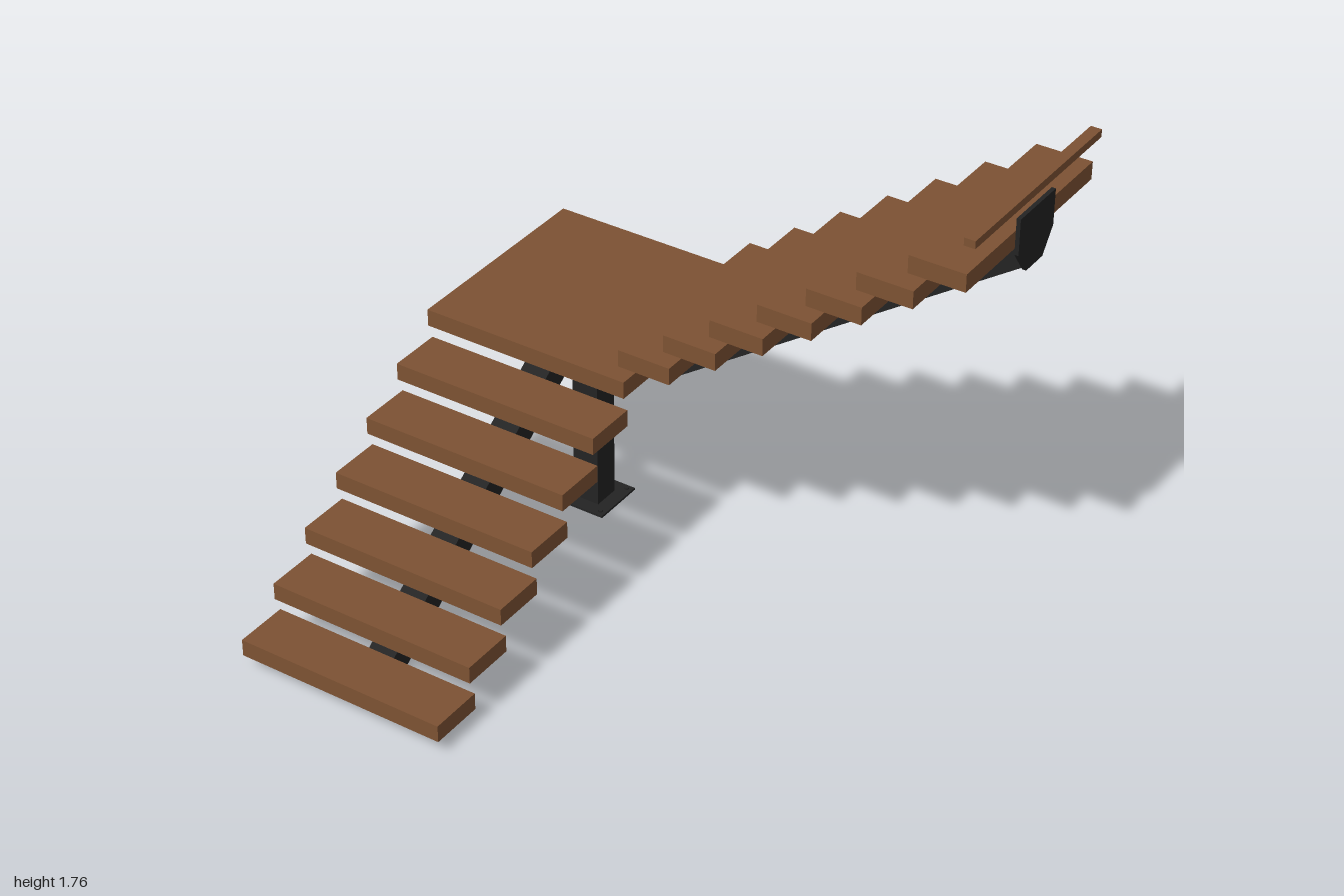
import * as THREE from 'three';

export function createModel() {
  const model = new THREE.Group();
  model.name = 'cornerStaircase';
  const wood = new THREE.MeshStandardMaterial({ color: 0x7d5233 });
  wood.name = 'brown wood';
  const steel = new THREE.MeshStandardMaterial({ color: 0x232323 });
  steel.name = 'black steel';

  const add = (parent, name, geometry, material) => {
    const mesh = new THREE.Mesh(geometry, material);
    mesh.name = name;
    parent.add(mesh);
    return mesh;
  };
  // Box given by its limits on each axis
  const box = (parent, name, material, x0, x1, y0, y1, z0, z1) => {
    const mesh = add(parent, name, new THREE.BoxGeometry(x1 - x0, y1 - y0, z1 - z0), material);
    mesh.position.set((x0 + x1) / 2, (y0 + y1) / 2, (z0 + z1) / 2);
    return mesh;
  };
  // Side profile extruded evenly about its centre plane
  const slab = (points, width) => {
    const shape = new THREE.Shape(points.map(([x, y]) => new THREE.Vector2(x, y)));
    return new THREE.ExtrudeGeometry(shape, { depth: width, bevelEnabled: false }).translate(0, 0, -width / 2);
  };
  // Bracket wedge, wider under the tread than on the stringer
  const bracketGeometry = slab([[0.065, 0], [0.105, -0.048], [0.165, -0.005], [0.165, 0]], 0.118);
  const p = bracketGeometry.attributes.position;
  for (let i = 0; i < p.count; i++) p.setZ(i, p.getZ(i) * (1 + 3 * p.getY(i)));
  bracketGeometry.computeVertexNormals();

  // A flight climbs along its own +x
  const flight = (name, count, startX, startY, profile) => {
    const group = new THREE.Group();
    group.name = name;
    add(group, 'stringer', slab(profile, 0.1), steel);
    for (let i = 0; i < count; i++) {
      const x = startX + i * 0.171, y = startY + i * 0.1172;
      box(group, 'tread', wood, x, x + 0.194, y, y + 0.062, -0.389, 0.389);
      add(group, 'treadBracket', bracketGeometry, steel).position.set(x, y, 0);
    }
    model.add(group);
    return group;
  };

  const lower = flight('lowerFlight', 6, -0.905, 0.058,
    [[-0.81, 0.005], [-0.645, 0.005], [0.3, 0.655], [0.79, 0.655], [0.79, 0.755], [0.27, 0.755]]);
  lower.rotation.y = Math.PI / 2;
  lower.position.x = -0.61;

  const upper = flight('upperFlight', 7, -0.24, 0.88,
    [[-0.57, 0.655], [-0.237, 0.655], [0.99, 1.498], [0.99, 1.619], [-0.268, 0.755], [-0.57, 0.755]]);
  upper.position.z = -0.51;

  // Landing, its post and the top nosing
  box(model, 'landing', wood, -1, -0.222, 0.76, 0.822, -0.902, -0.125);
  box(model, 'post', steel, -0.66, -0.56, 0, 0.66, -0.56, -0.46);
  box(model, 'topNosing', wood, 0.962, 1, 1.735, 1.762, -0.902, -0.125);

  // Wall plate at the head of the upper flight
  const wallPlate = add(model, 'wallPlate', slab([[-0.05, 1.49], [0.05, 1.49], [0.108, 1.57],
    [0.108, 1.695], [-0.108, 1.695], [-0.108, 1.57]], 0.014), steel);
  wallPlate.rotation.y = Math.PI / 2;
  wallPlate.position.set(0.993, 0, -0.51);

  // Floor plates with anchor bolts
  for (const [name, z, depth] of [['stairFootPlate', 0.74, 0.21], ['postBasePlate', -0.51, 0.2]]) {
    box(model, name, steel, -0.71, -0.51, 0, 0.008, z - depth / 2, z + depth / 2);
    for (const sx of [-1, 1]) for (const sz of [-1, 1]) {
      const bolt = add(model, 'anchorBolt', new THREE.CylinderGeometry(0.008, 0.008, 0.006, 6), steel);
      bolt.position.set(-0.61 + sx * 0.08, 0.011, z + sz * 0.08);
    }
  }

  // Mounting plates between the beams and the landing
  for (const z of [-0.36, -0.7]) box(model, 'landingPlate', steel, -0.7, -0.52, 0.752, 0.76, z - 0.06, z + 0.06);
  box(model, 'landingPlate', steel, -0.43, -0.31, 0.752, 0.76, -0.6, -0.42);

  return model;
}
